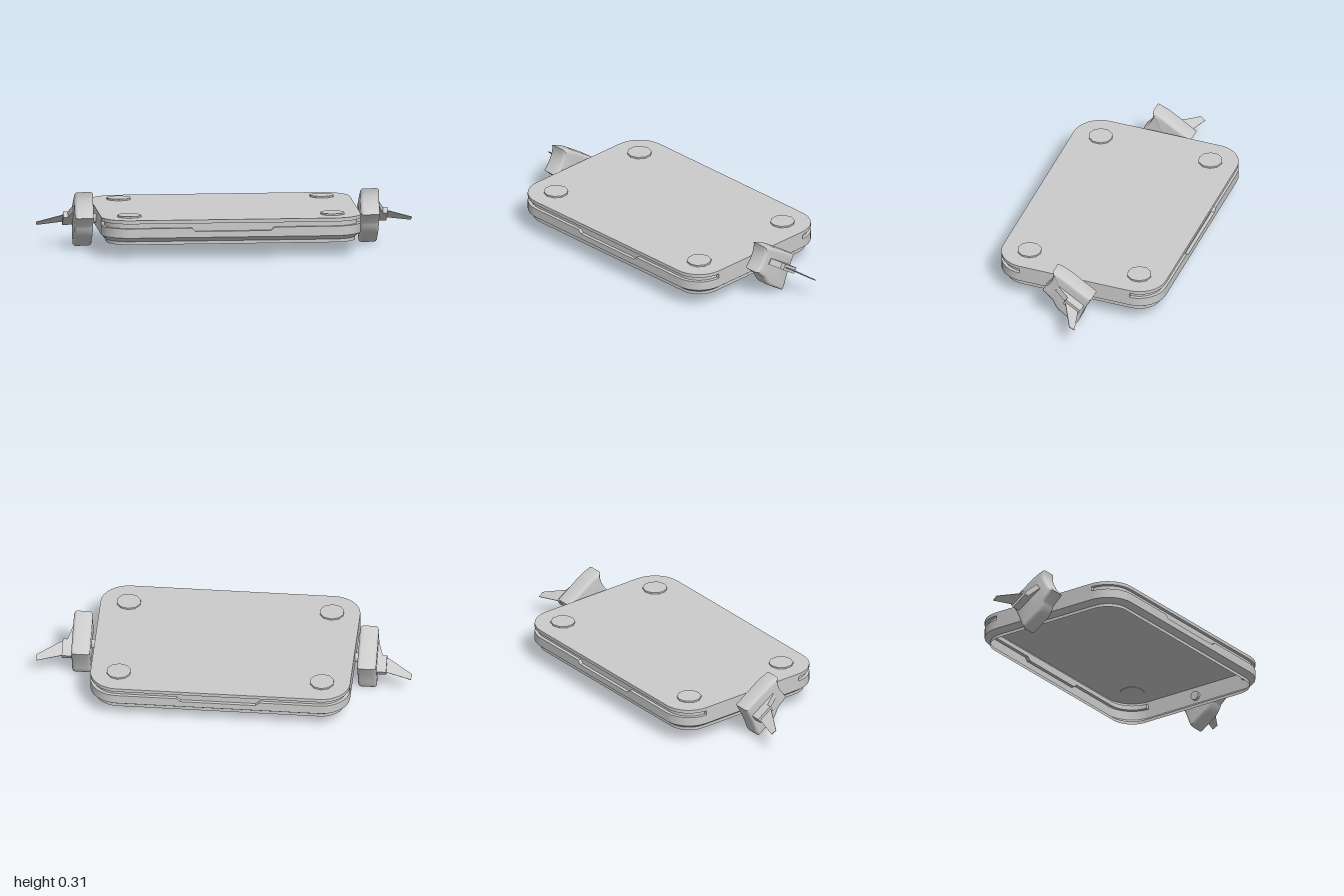
import * as THREE from 'three';
import { toCreasedNormals } from 'three/addons/utils/BufferGeometryUtils.js';

const HX = 0.69, HZ = 0.46, R = 0.15;      // hull half sizes and corner radius
const TILT = -0.575;                       // slope of the fin holder

const material = () => new THREE.MeshStandardMaterial({ color: 0xcccccc, side: THREE.DoubleSide });

function addMesh(parent, name, geometry, crease = 0.6) {
  const mesh = new THREE.Mesh(toCreasedNormals(geometry, crease), material());
  mesh.name = name;
  parent.add(mesh);
  return mesh;
}

function shapeFrom(points) {
  return new THREE.Shape(points.map(([x, y]) => new THREE.Vector2(x, y)));
}

// Outline of the hull: each point knows its outward direction, groove depth and seam dip
function hullOutline() {
  const out = [];
  const add = (x, z, nx, nz, groove, dip) => out.push({ x, z, nx, nz, groove, dip });
  const corner = (sx, sz, start) => {
    for (let i = 0; i <= 8; i++) {
      const a = start + (i / 8) * Math.PI / 2, c = Math.cos(a), s = Math.sin(a);
      add(sx * (HX - R) + R * c, sz * (HZ - R) + R * s, c, s, 0.018, 0);
    }
  };
  const longSide = (s) => {
    for (const [x, dip] of [[0.22, 0], [0.2, 0.018], [-0.2, 0.018], [-0.22, 0]])
      add(s * x, s * HZ, 0, s, 0.018, dip);
  };
  const shortSide = (s) => {
    for (const k of [1, -1]) add(s * HX, -s * k * (HZ - R), s, 0, 0, 0);
  };
  corner(1, 1, 0);
  longSide(1);
  corner(-1, 1, Math.PI / 2);
  shortSide(-1);
  corner(-1, -1, Math.PI);
  longSide(-1);
  corner(1, -1, Math.PI * 1.5);
  shortSide(1);
  return out;
}

// Shell open at the bottom: lip, chamfer, wall, recessed seam, lid edge and top
function hullGeometry() {
  const outline = hullOutline(), n = outline.length;
  // inset, height, follows groove, follows dip
  const rings = [
    [0.03, 0.073, 0, 0], [0.03, 0.09, 0, 0], [0, 0.113, 0, 0], [0, 0.163, 0, 1],
    [0, 0.163, 1, 1], [0, 0.188, 1, 0], [0, 0.188, 0, 0], [0, 0.207, 0, 0],
  ];
  const pos = [], index = [];
  for (const [inset, y, g, d] of rings)
    for (const p of outline) {
      const o = inset + g * p.groove;
      pos.push(p.x - p.nx * o, y - d * p.dip, p.z - p.nz * o);
    }
  for (let r = 0; r < rings.length - 1; r++)
    for (let i = 0; i < n; i++) {
      const a = r * n + i, b = r * n + (i + 1) % n;
      index.push(a, a + n, b, b, a + n, b + n);
    }
  const centre = pos.length / 3, top = (rings.length - 1) * n;
  pos.push(0, 0.207, 0);
  for (let i = 0; i < n; i++) index.push(centre, top + (i + 1) % n, top + i);
  const geo = new THREE.BufferGeometry();
  geo.setAttribute('position', new THREE.Float32BufferAttribute(pos, 3));
  geo.setIndex(index);
  return geo;
}

// Tilted pod with a scooped front end, drawn as (z, y)
function podGeometry(s) {
  const shape = new THREE.Shape();
  shape.moveTo(0.082, 0.306);
  shape.quadraticCurveTo(0.035, 0.292, 0, 0.27);
  shape.lineTo(-0.136, 0.18);
  shape.quadraticCurveTo(-0.085, 0.09, -0.068, 0.035);
  shape.quadraticCurveTo(-0.06, 0.012, -0.047, 0.0);
  shape.lineTo(0.047, 0.062);
  shape.quadraticCurveTo(0.07, 0.085, 0.084, 0.123);
  shape.lineTo(0.14, 0.173);
  shape.quadraticCurveTo(0.07, 0.25, 0.082, 0.306);
  const bevel = 0.016, width = 0.1;
  const geo = new THREE.ExtrudeGeometry(shape, {
    depth: width - 2 * bevel, bevelEnabled: true, bevelThickness: bevel,
    bevelSize: bevel, bevelOffset: -bevel, bevelSegments: 3, curveSegments: 6,
  });
  geo.rotateY(-Math.PI / 2);
  geo.translate(s * 0.76 + width / 2 - bevel, 0, 0);
  return geo;
}

// Flat part drawn as (x, z) with its thickness along y
function slab(points, thickness, s) {
  const geo = new THREE.ExtrudeGeometry(shapeFrom(points.map(([x, z]) => [s * x, z])),
    { depth: thickness, bevelEnabled: false });
  geo.rotateX(Math.PI / 2);
  geo.translate(0, thickness / 2, 0);
  return geo;
}

function createThruster(s) {
  const thruster = new THREE.Group();
  thruster.name = s > 0 ? 'leftThruster' : 'rightThruster';

  // pivot from hull to pod
  const pivot = new THREE.CylinderGeometry(0.025, 0.025, 0.06, 16);
  pivot.rotateZ(Math.PI / 2);
  addMesh(thruster, 'pivot', pivot).position.set(s * 0.705, 0.155, 0);

  addMesh(thruster, 'pod', podGeometry(s));

  // holder and fin lie along the pod's own slope
  const mount = new THREE.Group();
  mount.name = 'finMount';
  mount.position.set(0, 0.149, -0.047);
  mount.rotation.x = TILT;
  thruster.add(mount);
  addMesh(mount, 'finHolder', slab([[0.8, 0.118], [0.815, 0.118], [0.838, 0.048],
    [0.862, 0.048], [0.862, -0.048], [0.8, -0.048]], 0.034, s));
  addMesh(mount, 'fin', slab([[0.81, -0.027], [0.995, -0.077], [1.0, -0.045],
    [0.87, 0.038], [0.81, 0.038]], 0.004, s));
  return thruster;
}

export function createModel() {
  const model = new THREE.Group();
  model.name = 'hoverPlatform';

  addMesh(model, 'hull', hullGeometry(), 0.45);

  // round pads on the lid
  for (const sx of [1, -1])
    for (const sz of [1, -1])
      addMesh(model, 'topPad', new THREE.CylinderGeometry(0.065, 0.065, 0.012, 10))
        .position.set(sx * 0.54, 0.21, sz * 0.31);

  for (const s of [1, -1]) model.add(createThruster(s));
  return model;
}
